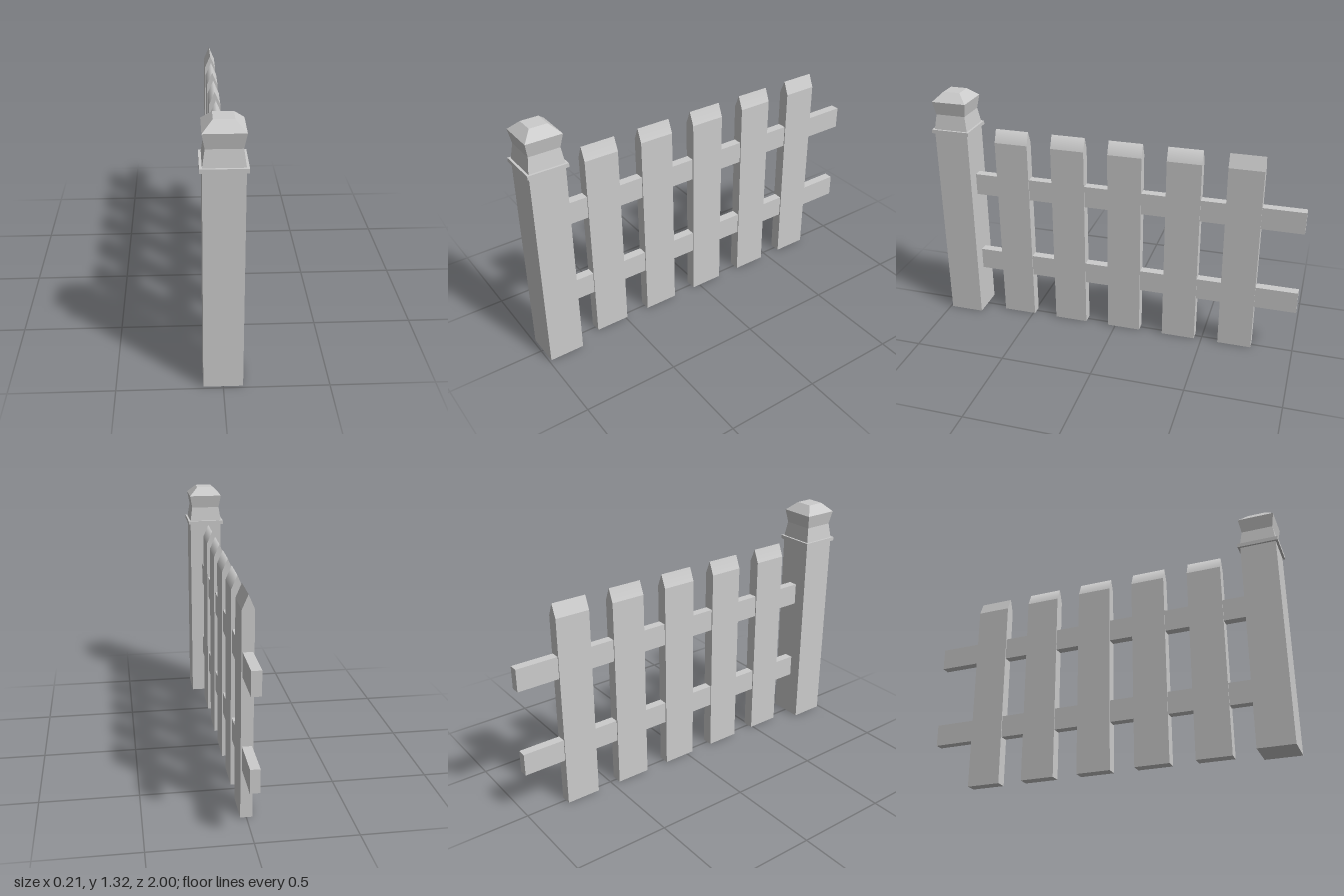
import * as THREE from 'three';

const flat = new THREE.MeshStandardMaterial({ color: 0xcccccc, flatShading: true });
const smooth = new THREE.MeshStandardMaterial({ color: 0xcccccc });

// Square turned solid: profile of [half width, height], bottom to top
function squareLathe(name, profile) {
  const pts = profile.map(([h, y]) => new THREE.Vector2(h * Math.SQRT2, y));
  const mesh = new THREE.Mesh(new THREE.LatheGeometry(pts, 4, Math.PI / 4), flat);
  mesh.name = name;
  return mesh;
}

// Board with a ridged top, optionally softened across the ridge
function picket(z, softRidge) {
  const hx = 0.03, width = 0.184, shoulder = 1.05, ridge = 1.12;
  const shape = new THREE.Shape([
    [-hx, 0], [hx, 0], [hx, shoulder], [0, ridge], [-hx, shoulder],
  ].map(([x, y]) => new THREE.Vector2(x, y)));
  const geo = new THREE.ExtrudeGeometry(shape, { depth: width, bevelEnabled: false });
  geo.translate(0, 0, -width / 2);
  if (softRidge) {
    const { position, normal } = geo.attributes;
    for (let i = 0; i < position.count; i++) {
      if (position.getY(i) > ridge - 0.001 && Math.abs(normal.getZ(i)) < 0.5) normal.setXYZ(i, 0, 1, 0);
    }
  }
  const mesh = new THREE.Mesh(geo, softRidge ? smooth : flat);
  mesh.name = 'picket';
  mesh.position.z = z;
  return mesh;
}

export function createModel() {
  const model = new THREE.Group();
  model.name = 'picketFence';

  // End post with collar and waisted cap
  const post = new THREE.Group();
  post.name = 'post';
  post.position.z = 0.895;
  post.add(
    squareLathe('postShaft', [[0, 0], [0.093, 0], [0.093, 1.1], [0, 1.1]]),
    squareLathe('postCollar', [[0, 1.1], [0.105, 1.1], [0.105, 1.12], [0, 1.12]]),
    squareLathe('postCap', [[0, 1.12], [0.093, 1.12], [0.081, 1.2], [0.094, 1.272], [0.046, 1.318], [0, 1.318]]),
  );
  model.add(post);

  // Pickets
  [0.582, 0.265, -0.05, -0.367, -0.684].forEach((z, i) => model.add(picket(z, i < 4)));

  // Rails running from the post through the pickets
  for (const [name, y] of [['lowerRail', 0.32], ['upperRail', 0.79]]) {
    const rail = new THREE.Mesh(new THREE.BoxGeometry(0.048, 0.12, 1.803), flat);
    rail.name = name;
    rail.position.set(0, y, -0.0985);
    model.add(rail);
  }
  return model;
}
